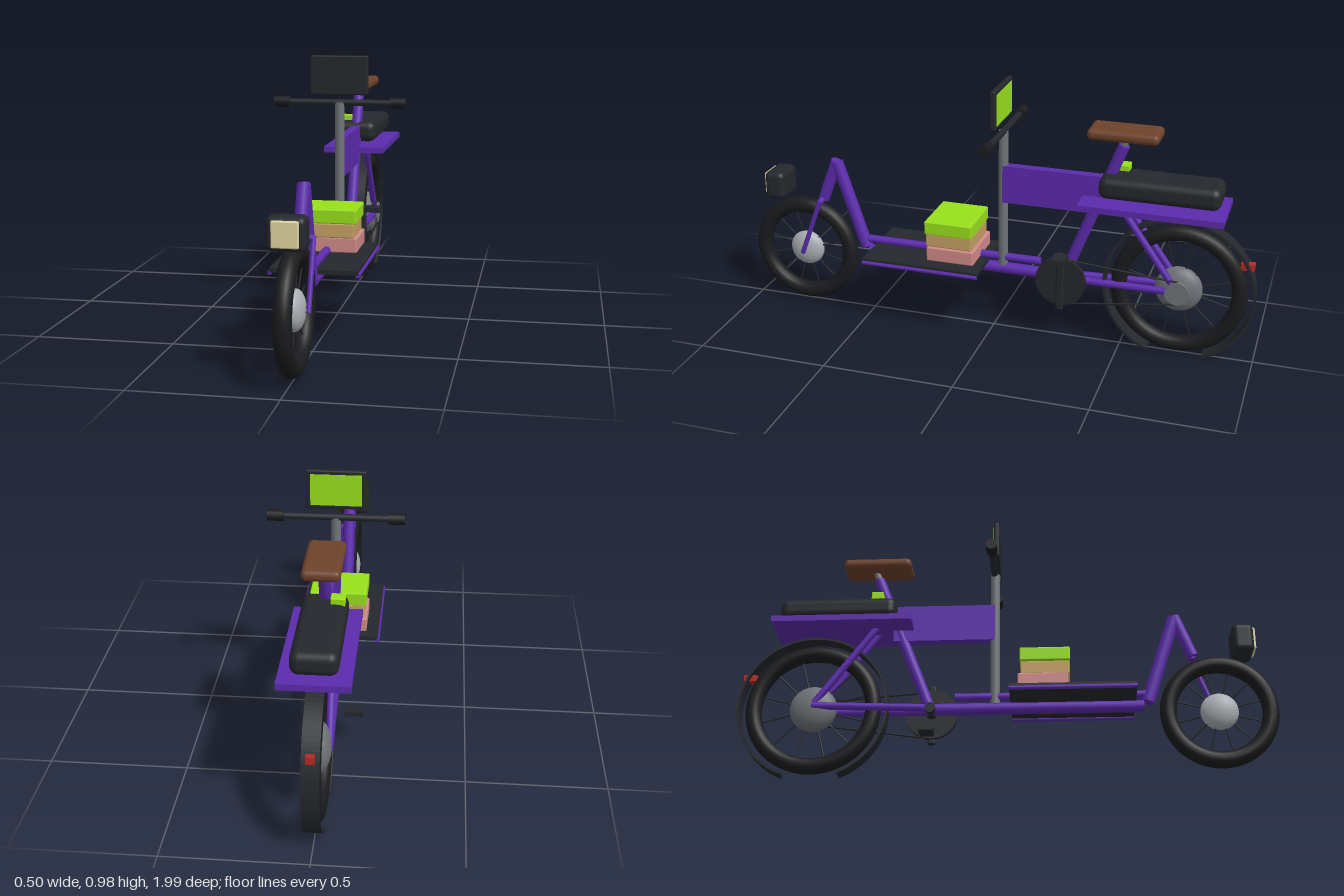
import * as THREE from 'three';
import { RoundedBoxGeometry } from 'three/addons/geometries/RoundedBoxGeometry.js';

const mat = (color) => new THREE.MeshStandardMaterial({ color });
const purple = mat(0x5c2bad), dark = mat(0x24272c), black = mat(0x1a1b1d), grey = mat(0x6f7378),
  silver = mat(0xa9adb2), brown = mat(0x6e422b), green = mat(0x98e01c), tan = mat(0xc4a062),
  pink = mat(0xcf8a88), cream = mat(0xe0d5a0), red = mat(0xb52a24);

export function createModel() {
  const root = new THREE.Group();
  root.name = 'cargoBike';

  const add = (name, geometry, material, pos = [0, 0, 0], parent = root) => {
    const mesh = new THREE.Mesh(geometry, material);
    mesh.name = name;
    mesh.position.set(...pos);
    parent.add(mesh);
    return mesh;
  };
  const box = (name, size, pos, material) => add(name, new THREE.BoxGeometry(...size), material, pos);
  const soft = (name, size, radius, pos, material) =>
    add(name, new RoundedBoxGeometry(...size, 4, radius), material, pos);
  // Round bar between two points
  const tube = (name, a, b, radius, material, parent = root, sides = 16) => {
    const from = new THREE.Vector3(...a), to = new THREE.Vector3(...b);
    const dir = to.clone().sub(from);
    const mesh = add(name, new THREE.CylinderGeometry(radius, radius, dir.length(), sides), material,
      from.clone().add(to).multiplyScalar(0.5).toArray(), parent);
    mesh.quaternion.setFromUnitVectors(new THREE.Vector3(0, 1, 0), dir.normalize());
    return mesh;
  };

  // Wheels: tire, bulging hub and radial spokes
  const wheel = (name, y, z, ring, thick, hubRadius, hubHalf, hubMaterial) => {
    const group = new THREE.Group();
    group.name = name;
    group.position.set(0, y, z);
    root.add(group);
    add('tire', new THREE.TorusGeometry(ring, thick, 16, 64).rotateY(Math.PI / 2), black, [0, 0, 0], group);
    add('hub', new THREE.SphereGeometry(hubRadius, 28, 18).scale(hubHalf / hubRadius, 1, 1), hubMaterial, [0, 0, 0], group);
    for (let i = 0; i < 12; i++) {
      const a = (i + 0.5) * Math.PI / 6, c = Math.cos(a), s = Math.sin(a);
      tube('spoke', [0, s * 0.03, c * 0.03], [0, s * ring, c * ring], 0.003, dark, group, 6);
    }
  };
  wheel('frontWheel', 0.228, 0.783, 0.186, 0.031, 0.07, 0.036, silver);
  wheel('rearWheel', 0.265, -0.712, 0.223, 0.03, 0.088, 0.045, grey);

  // Rear fender: thin band open at the bottom
  const from = -68 * Math.PI / 180, to = 248 * Math.PI / 180;
  const band = new THREE.Shape();
  band.absarc(0, 0, 0.281, from, to, false);
  band.absarc(0, 0, 0.272, to, from, true);
  const fender = new THREE.ExtrudeGeometry(band, { depth: 0.06, bevelEnabled: false, curveSegments: 48 });
  fender.translate(0, 0, -0.03).rotateY(-Math.PI / 2);
  add('rearFender', fender, dark, [0, 0.265, -0.712]);
  box('tailLight', [0.03, 0.025, 0.05], [0, 0.39, -0.955], red);

  // Frame tubes
  tube('lowerTube', [0, 0.255, 0.51], [0, 0.255, -0.3], 0.022, purple);
  tube('upperTube', [0, 0.302, 0.52], [0, 0.302, -0.185], 0.015, purple);
  tube('frontDownTube', [0, 0.61, 0.637], [0, 0.27, 0.525], 0.024, purple);
  tube('frontSteerer', [0, 0.615, 0.638], [0, 0.45, 0.7], 0.022, purple);
  tube('forkCrown', [0, 0.455, 0.698], [0.045, 0.445, 0.702], 0.012, purple);
  tube('forkLeg', [0.045, 0.455, 0.698], [0.045, 0.222, 0.785], 0.009, purple);
  tube('frontAxle', [0, 0.228, 0.783], [0.05, 0.228, 0.783], 0.008, grey);
  tube('seatTube', [0, 0.25, -0.275], [0, 0.8, -0.487], 0.021, purple);
  tube('seatPost', [0, 0.79, -0.483], [0, 0.84, -0.502], 0.013, grey);
  for (const s of [-1, 1]) {
    tube('chainStay', [s * 0.02, 0.255, -0.28], [s * 0.036, 0.265, -0.712], 0.014, purple);
    tube('seatStay', [s * 0.03, 0.585, -0.48], [s * 0.036, 0.275, -0.705], 0.013, purple);
  }
  box('sidePanel', [0.036, 0.145, 0.385], [0, 0.603, -0.23], purple);

  // Cargo deck with edge rails
  box('cargoDeck', [0.31, 0.016, 0.46], [0, 0.281, 0.25], dark);
  for (const s of [-1, 1]) tube('deckRail', [s * 0.154, 0.272, 0.02], [s * 0.154, 0.272, 0.48], 0.008, purple);

  // Stacked parcels
  soft('lowerParcel', [0.22, 0.055, 0.185], 0.005, [0, 0.322, 0.142], pink);
  soft('middleParcel', [0.2, 0.052, 0.18], 0.005, [0, 0.375, 0.15], tan);
  soft('upperParcel', [0.216, 0.052, 0.185], 0.005, [0, 0.427, 0.15], green);

  // Headlight
  soft('headlight', [0.13, 0.112, 0.08], 0.022, [0, 0.501, 0.883], dark);
  soft('headlightLens', [0.088, 0.086, 0.018], 0.005, [0, 0.503, 0.922], cream);

  // Steering post, handlebar and display
  tube('steeringPost', [0, 0.27, -0.037], [0, 0.81, -0.037], 0.018, grey);
  tube('handlebar', [-0.24, 0.81, -0.04], [0.24, 0.81, -0.04], 0.012, dark);
  for (const s of [-1, 1]) tube('grip', [s * 0.19, 0.81, -0.04], [s * 0.25, 0.81, -0.04], 0.021, black);
  soft('display', [0.218, 0.147, 0.02], 0.006, [0, 0.913, -0.028], dark);
  box('displayScreen', [0.186, 0.118, 0.004], [0, 0.913, -0.038], green);

  // Saddle, rear rack and passenger cushion
  soft('saddle', [0.13, 0.04, 0.26], 0.018, [0, 0.847, -0.49], brown);
  box('rearRack', [0.24, 0.023, 0.525], [0, 0.586, -0.608], purple);
  soft('rearCushion', [0.158, 0.083, 0.44], 0.03, [0, 0.652, -0.63], dark);
  soft('controlButton', [0.05, 0.03, 0.045], 0.004, [-0.046, 0.7, -0.482], green);

  // Chainring, crank, pedals and chain
  tube('chainring', [0.036, 0.252, -0.275], [0.052, 0.252, -0.275], 0.096, dark, root, 36);
  tube('rearSprocket', [0.036, 0.265, -0.712], [0.052, 0.265, -0.712], 0.045, grey, root, 24);
  tube('crankAxle', [-0.035, 0.252, -0.275], [0.06, 0.252, -0.275], 0.02, dark);
  soft('crank', [0.018, 0.235, 0.03], 0.008, [0.056, 0.255, -0.275], dark);
  for (const s of [-1, 1]) box('pedal', [0.068, 0.02, 0.052], [s * 0.088, 0.25 + s * 0.11, -0.28], dark);
  for (const s of [-1, 1])
    tube('chain', [0.045, 0.252 + s * 0.092, -0.285], [0.045, 0.265 + s * 0.045, -0.712], 0.004, dark, root, 6);

  return root;
}
